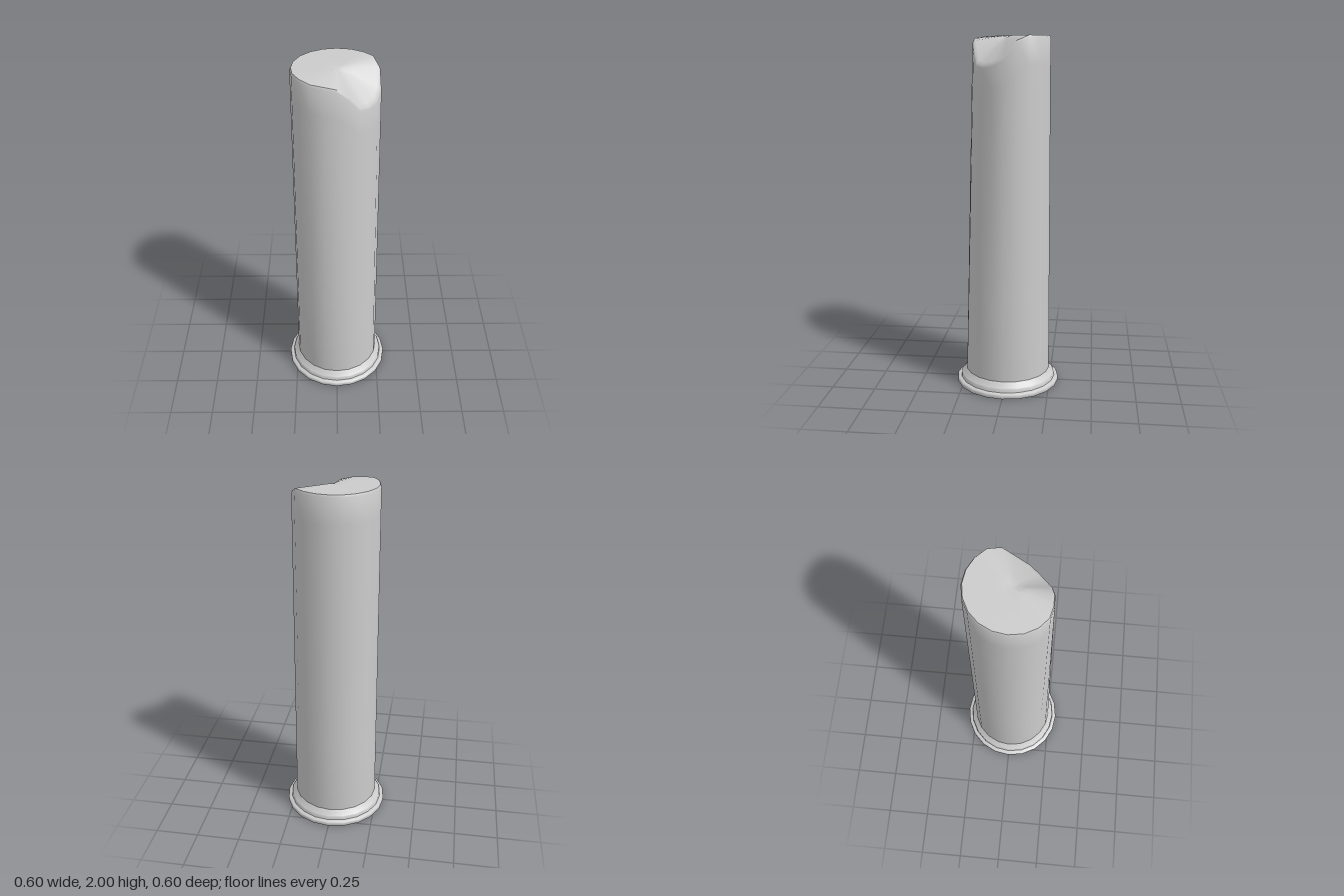
import * as THREE from 'three';
import { toCreasedNormals } from 'three/addons/utils/BufferGeometryUtils.js';

const SIDES = 20;
const material = new THREE.MeshStandardMaterial({ color: 0xcccccc, side: THREE.DoubleSide });

// Broken rim: [radius, height] every 18 degrees, turning from +x towards +z
const RIM = [
  [0.225, 1.88], [0.213, 1.85], [0.2, 1.84], [0.196, 1.85], [0.19, 1.92],
  [0.195, 1.97], [0.207, 1.985], [0.225, 1.992], [0.233, 2], [0.235, 2],
];
while (RIM.length < 19) RIM.push([0.235, 2]);
RIM.push([0.231, 1.97]);

// Joins rings of SIDES points into one surface, closed by a final centre point
function loft(rings, centre) {
  const pos = [], index = [];
  rings.forEach((ring) => ring.forEach((p) => pos.push(...p)));
  pos.push(...centre);
  const last = rings.length - 1;
  for (let j = 0; j <= last; j++) {
    for (let k = 0; k < SIDES; k++) {
      const a = j * SIDES + k, b = j * SIDES + (k + 1) % SIDES;
      if (j === last) index.push(a, rings.length * SIDES, b);
      else index.push(a, a + SIDES, b + SIDES, a, b + SIDES, b);
    }
  }
  const geometry = new THREE.BufferGeometry();
  geometry.setAttribute('position', new THREE.Float32BufferAttribute(pos, 3));
  geometry.setIndex(index);
  return geometry;
}

function ringOf(rule) {
  return RIM.map(([r, y], k) => {
    const angle = (k / SIDES) * Math.PI * 2;
    const [radius, height] = rule(r, y);
    return [radius * Math.cos(angle), height, radius * Math.sin(angle)];
  });
}

export function createModel() {
  const group = new THREE.Group();
  group.name = 'brokenColumn';

  // Tapered shaft with a worn notch falling away from the middle of its top
  const rings = [];
  for (const t of [0, 0.25, 0.5, 0.75, 0.92]) {
    rings.push(ringOf((r, y) => [
      THREE.MathUtils.lerp(0.245, r, t),
      THREE.MathUtils.lerp(0.08, y, t),
    ]));
  }
  rings.push(ringOf((r, y) => [r, y - 0.012]));
  for (const f of [0.975, 0.9, 0.75, 0.55, 0.35, 0.15]) {
    rings.push(ringOf((r, y) => [r * f, 2 - (2 - y) * Math.pow(f, 1.2)]));
  }
  const shaft = new THREE.Mesh(toCreasedNormals(loft(rings, [0, 1.995, 0]), 0.9), material);
  shaft.name = 'shaft';
  group.add(shaft);

  // Stepped foot moulding, open underneath
  const profile = [
    [0.298, 0], [0.3, 0.004], [0.3, 0.02], [0.296, 0.025], [0.277, 0.028],
    [0.275, 0.032], [0.275, 0.046], [0.27, 0.052], [0.256, 0.064], [0.249, 0.076], [0.245, 0.08],
  ].map(([r, y]) => new THREE.Vector2(r, y));
  const foot = new THREE.Mesh(toCreasedNormals(new THREE.LatheGeometry(profile, SIDES), 0.9), material);
  foot.name = 'footMoulding';
  group.add(foot);

  return group;
}
